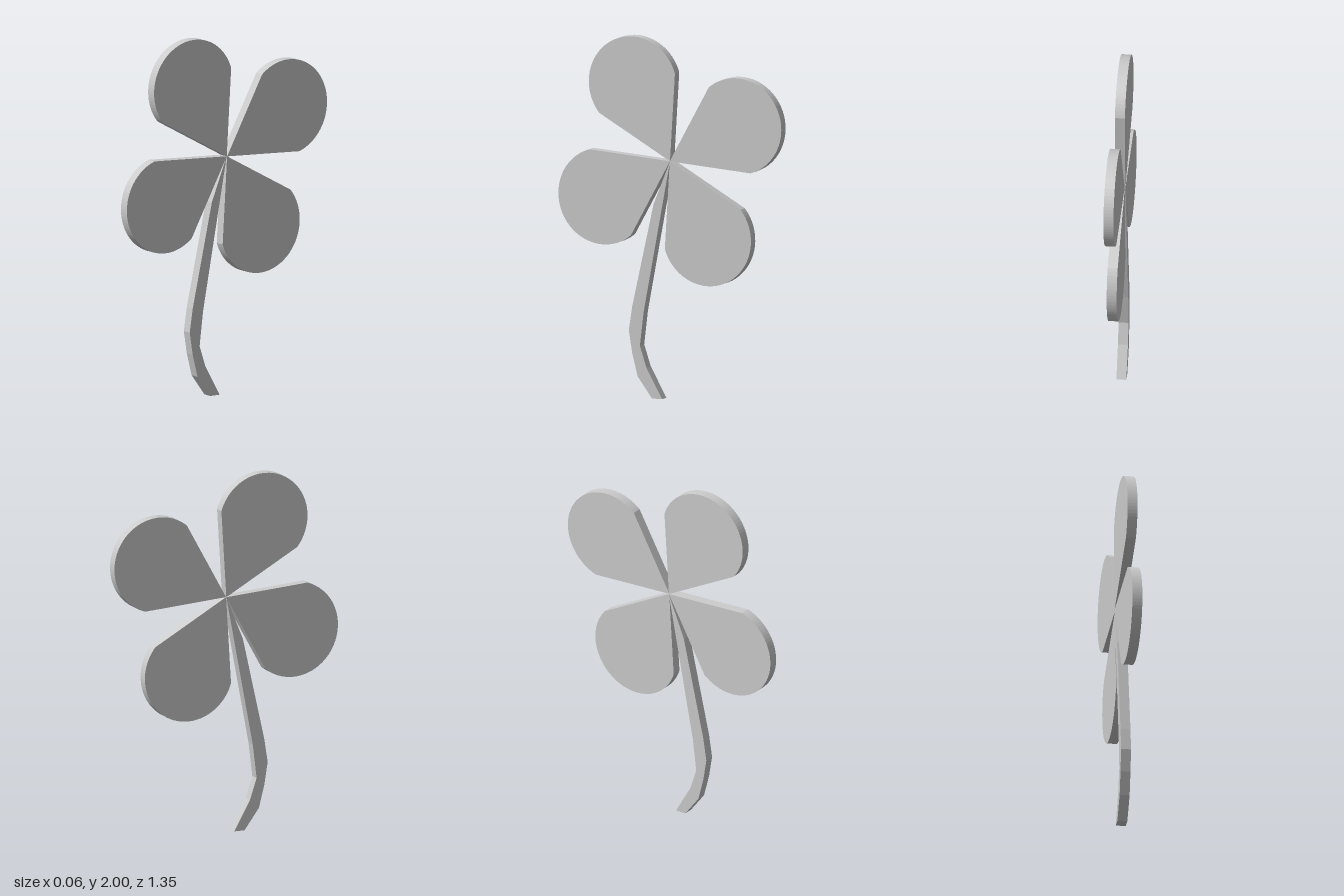
import * as THREE from 'three';

const THICK = 0.055;
const HUB_Y = 1.325;

// Extrude a (z, y) outline into a plate lying across x
function plate(shape, offset, name, material) {
  const geo = new THREE.ExtrudeGeometry(shape, { depth: THICK, bevelEnabled: false, curveSegments: 24 });
  geo.rotateY(-Math.PI / 2);
  geo.translate(THICK / 2 + offset, 0, 0);
  const mesh = new THREE.Mesh(geo, material);
  mesh.name = name;
  return mesh;
}

// Teardrop leaf: point at the origin, round end along +X
function leafShape() {
  const radius = 0.267, centre = 0.467, chord = 0.414;
  const a = Math.acos((chord - centre) / radius);
  const shape = new THREE.Shape();
  shape.moveTo(0, 0);
  shape.lineTo(chord, -radius * Math.sin(a));
  shape.absarc(centre, 0, radius, -a, a, false);
  shape.closePath();
  return shape;
}

export function createModel() {
  const group = new THREE.Group();
  group.name = 'fourLeafClover';
  const material = new THREE.MeshStandardMaterial({ color: 0xcccccc, flatShading: true });

  // Four leaves around the hub, each a quarter turn apart
  const offsets = [-0.002, 0.002, 0.001, -0.002];
  const names = ['upperFrontLeaf', 'upperBackLeaf', 'lowerBackLeaf', 'lowerFrontLeaf'];
  names.forEach((name, i) => {
    const leaf = plate(leafShape(), offsets[i], name, material);
    leaf.position.y = HUB_Y;
    leaf.rotation.x = -(THREE.MathUtils.degToRad(61.2) + i * Math.PI / 2);
    group.add(leaf);
  });

  // Curved stem, tapering to the hub
  const outline = [
    [0, HUB_Y], [0.1, 1.08], [0.23, 0.5], [0.25, 0.37], [0.23, 0.245], [0.197, 0.117], [0.11, 0],
    [0.048, 0], [0.143, 0.167], [0.183, 0.287], [0.16, 0.477], [0.05, 1.06],
  ].map(([z, y]) => new THREE.Vector2(z, y));
  group.add(plate(new THREE.Shape(outline), -0.003, 'stem', material));

  return group;
}
